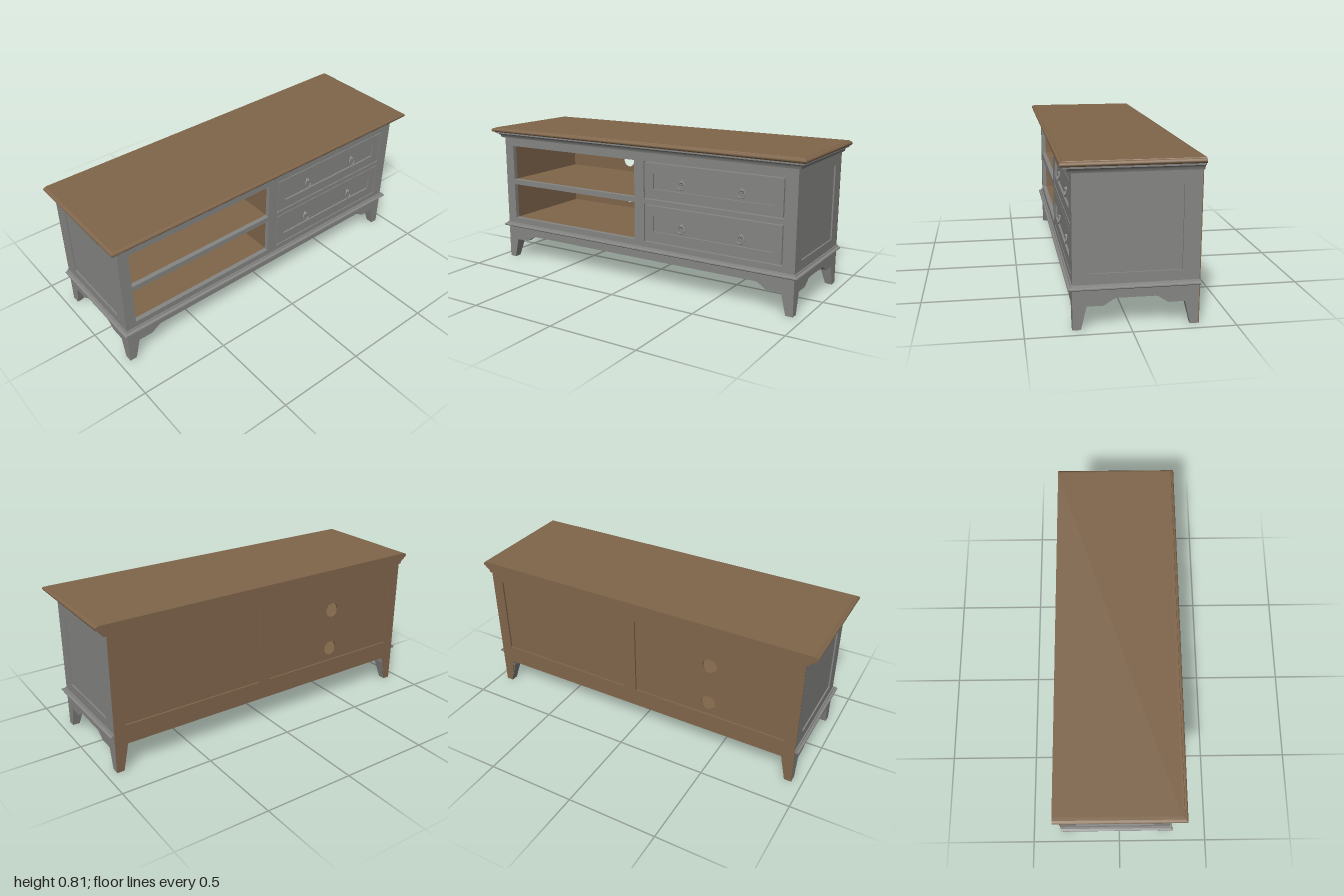
import * as THREE from 'three';
import { toCreasedNormals } from 'three/addons/utils/BufferGeometryUtils.js';

const grey = new THREE.MeshStandardMaterial({ color: 0x868684 });
grey.name = 'grey paint';
const brown = new THREE.MeshStandardMaterial({ color: 0x80664b });
brown.name = 'brown wood';

const X = 0.945, FRONT = 0.275, BACK = -0.33;
const DEPTH = FRONT - BACK;

function add(parent, name, geometry, material) {
  const mesh = new THREE.Mesh(geometry, material);
  mesh.name = name;
  parent.add(mesh);
  return mesh;
}

// Box given by its limits on each axis
function box(parent, name, material, x0, x1, y0, y1, z0, z1) {
  const mesh = add(parent, name, new THREE.BoxGeometry(x1 - x0, y1 - y0, z1 - z0), material);
  mesh.position.set((x0 + x1) / 2, (y0 + y1) / 2, (z0 + z1) / 2);
  return mesh;
}

const rect = (x0, x1, y0, y1) => [[x0, y0], [x1, y0], [x1, y1], [x0, y1]];
const vectors = (points) => points.map(([x, y]) => new THREE.Vector2(x, y));

// Flat board with cut-outs, between two z values
function board(outline, holes, z0, z1) {
  const shape = new THREE.Shape(vectors(outline));
  for (const h of holes) shape.holes.push(h instanceof THREE.Path ? h : new THREE.Path(vectors(h)));
  const g = new THREE.ExtrudeGeometry(shape, { depth: z1 - z0, bevelEnabled: false, curveSegments: 20 });
  return g.translate(0, 0, z0);
}

// Board outline with tapered feet and a stepped apron, softened at the steps
function apronOutline(half, top) {
  const side = [[0, 0], [0.04, 0], [0.067, 0.115], [0.142, 0.115], [0.152, 0.118],
    [0.196, 0.147], [0.21, 0.15]];
  return [
    ...side.map(([d, y]) => [-half + d, y]),
    ...side.map(([d, y]) => [half - d, y]).reverse(),
    [half, top], [-half, top],
  ];
}

// Mitred moulding along the left, front and right edges, capped at the back
function moulding(profile, x, front, back) {
  const at = (k, [o, y]) => [
    [-x - o, y, back], [-x - o, y, front + o], [x + o, y, front + o], [x + o, y, back],
  ][k];
  const pos = [];
  const n = profile.length;
  for (let k = 0; k < 3; k++) {
    for (let i = 0; i < n; i++) {
      const p = profile[i], q = profile[(i + 1) % n];
      const a = at(k, p), b = at(k + 1, p), c = at(k + 1, q), d = at(k, q);
      pos.push(...a, ...b, ...c, ...a, ...c, ...d);
    }
  }
  for (const [i, j, l] of THREE.ShapeUtils.triangulateShape(vectors(profile), [])) {
    pos.push(...at(0, profile[i]), ...at(0, profile[j]), ...at(0, profile[l]));
    pos.push(...at(3, profile[l]), ...at(3, profile[j]), ...at(3, profile[i]));
  }
  const g = new THREE.BufferGeometry();
  g.setAttribute('position', new THREE.Float32BufferAttribute(pos, 3));
  return toCreasedNormals(g, 0.7);
}

// Square post whose two inner faces taper towards the floor
function legPost(sx, sz) {
  const g = new THREE.BoxGeometry(1, 1, 1, 1, 2, 1);
  const p = g.attributes.position;
  for (let i = 0; i < p.count; i++) {
    const row = p.getY(i);
    const y = row < -0.1 ? 0 : row > 0.1 ? 0.2 : 0.115;
    const w = y === 0 ? 0.04 : 0.067;
    const inX = p.getX(i) * sx < 0, inZ = p.getZ(i) * sz < 0;
    const outerZ = sz > 0 ? FRONT : BACK;
    p.setXYZ(i, sx * (X - (inX ? w : 0.002)), y, outerZ - sz * (inZ ? w : 0.005));
  }
  const flat = g.toNonIndexed();
  flat.computeVertexNormals();
  return flat;
}

// Ring pull hanging from a small stud
function ringPull(x, y) {
  const pull = new THREE.Group();
  pull.name = 'ringPull';
  const plate = add(pull, 'pullPlate', new THREE.CylinderGeometry(0.012, 0.014, 0.005, 16), grey);
  plate.rotation.x = Math.PI / 2;
  plate.position.set(0, 0.014, 0.002);
  const stud = add(pull, 'pullStud', new THREE.SphereGeometry(0.007, 12, 8), grey);
  stud.position.set(0, 0.016, 0.007);
  const ring = add(pull, 'pullRing', new THREE.TorusGeometry(0.02, 0.0035, 8, 24), grey);
  ring.rotation.x = -0.2;
  ring.position.set(0, -0.004, 0.008);
  pull.position.set(x, y, 0.263);
  return pull;
}

export function createModel() {
  const model = new THREE.Group();
  model.name = 'mediaCabinet';

  // Table top with a rounded edge on three sides
  box(model, 'topBoard', brown, -0.97, 0.97, 0.785, 0.81, BACK, 0.303);
  add(model, 'topEdge', moulding([[0, 0.785], [0.022, 0.785], [0.027, 0.788], [0.03, 0.794],
    [0.029, 0.8], [0.024, 0.805], [0.015, 0.807], [0.013, 0.81], [0, 0.81]], 0.97, 0.303, BACK), brown);

  // Cornice and base mouldings
  const cornice = [[0, 0.75], [0.015, 0.75], [0.018, 0.761], [0.025, 0.77], [0.034, 0.774],
    [0.04, 0.775], [0.04, 0.785], [0, 0.785]];
  add(model, 'cornice', moulding(cornice, X, FRONT, BACK + 0.004), grey);
  add(model, 'baseMoulding', moulding([[0, 0.2], [0.018, 0.2], [0.022, 0.204], [0.021, 0.21],
    [0.015, 0.214], [0.009, 0.215], [0.007, 0.222], [0, 0.222]], X, FRONT, BACK), grey);

  // Front frame with two open bays and two drawer openings
  const rows = [[0.255, 0.465], [0.495, 0.7]];
  const openings = [];
  for (const [y0, y1] of rows) {
    openings.push(rect(-0.885, 0, y0, y1), rect(0.062, 0.878, y0 - 0.002, y1));
  }
  add(model, 'frontFrame', board(apronOutline(X, 0.785), openings, 0.25, FRONT), grey);

  // Drawers with a sunken centre panel and ring pulls
  box(model, 'drawerBacking', grey, 0.02, 0.92, 0.22, 0.74, 0.235, 0.25);
  for (const [y0, y1] of rows) {
    const mid = (y0 + y1) / 2 - 0.002;
    const drawer = new THREE.Group();
    drawer.name = 'drawer';
    const hole = rect(0.12, 0.82, mid - 0.043, mid + 0.043);
    add(drawer, 'drawerFront', board(rect(0.068, 0.872, y0 + 0.004, y1 - 0.006), [hole], 0.25, 0.274), grey);
    box(drawer, 'drawerPanel', grey, 0.12, 0.82, mid - 0.043, mid + 0.043, 0.25, 0.263);
    for (const x of [0.295, 0.645]) drawer.add(ringPull(x, mid - 0.004));
    model.add(drawer);
  }

  // Sides with a sunken panel
  for (const s of [1, -1]) {
    const side = new THREE.Group();
    side.name = s > 0 ? 'leftSide' : 'rightSide';
    const half = DEPTH / 2 - 0.002;
    const hole = s > 0 ? rect(-0.22, 0.218, 0.273, 0.683) : rect(-0.218, 0.22, 0.273, 0.683);
    add(side, 'sideFrame', board(apronOutline(half, 0.785), [hole], -0.025, 0), grey);
    box(side, 'sidePanel', grey, -0.23, 0.23, 0.26, 0.7, -0.02, -0.008);
    side.rotation.y = s * Math.PI / 2;
    side.position.set(s * X, 0, (FRONT + BACK) / 2 + 0.002);
    model.add(side);
  }

  // Back: outer sheet with feet, inner frame and a panel with cable holes
  const half = [[X - 0.07, 0.15], [X - 0.04, 0], [X, 0], [X, 0.75],
    ...cornice.slice(1, -1).map(([o, y]) => [X + o, y])];
  const backOutline = [...half, ...half.map(([x, y]) => [-x, y]).reverse()];
  const recesses = [rect(-0.88, 0, 0.255, 0.705), rect(0.07, 0.88, 0.255, 0.705)];
  add(model, 'backSheet', board(backOutline, recesses, BACK, BACK + 0.004), brown);
  add(model, 'backFrame', board(rect(-0.92, 0.92, 0.2, 0.785), recesses, -0.326, -0.32), brown);
  const cableHoles = [0.565, 0.328].map((y) => new THREE.Path().absarc(-0.443, y, 0.041, 0, Math.PI * 2, true));
  add(model, 'backPanel', board(rect(-0.92, 0.92, 0.2, 0.785), cableHoles, -0.32, -0.31), brown);

  // Lining of the open bays
  for (const [name, y0, y1] of [['bayFloor', 0.225, 0.255], ['bayShelf', 0.465, 0.495], ['bayCeiling', 0.7, 0.73]]) {
    box(model, name, brown, -0.905, 0.02, y0, y1, -0.31, 0.25);
  }
  box(model, 'bayOuterWall', brown, -0.905, -0.885, 0.225, 0.73, -0.31, 0.25);
  box(model, 'bayInnerWall', brown, 0, 0.02, 0.225, 0.73, -0.31, 0.25);

  // Underside: bottom board, centre rail, legs and diagonal braces
  box(model, 'bottomBoard', grey, -0.92, 0.92, 0.195, 0.215, -0.31, 0.25);
  box(model, 'backRail', grey, -0.92, 0.92, 0.152, 0.2, -0.326, -0.305);
  box(model, 'centreRail', grey, -0.02, 0.02, 0.152, 0.2, -0.31, 0.25);
  for (const sx of [1, -1]) {
    for (const sz of [1, -1]) {
      add(model, 'leg', legPost(sx, sz), grey);
      const brace = add(model, 'cornerBrace', new THREE.BoxGeometry(0.2, 0.04, 0.022), grey);
      brace.position.set(sx * (X - 0.1), 0.175, (sz > 0 ? FRONT : BACK) - sz * 0.1);
      brace.rotation.y = sx * sz * Math.PI / 4;
    }
  }
  return model;
}
